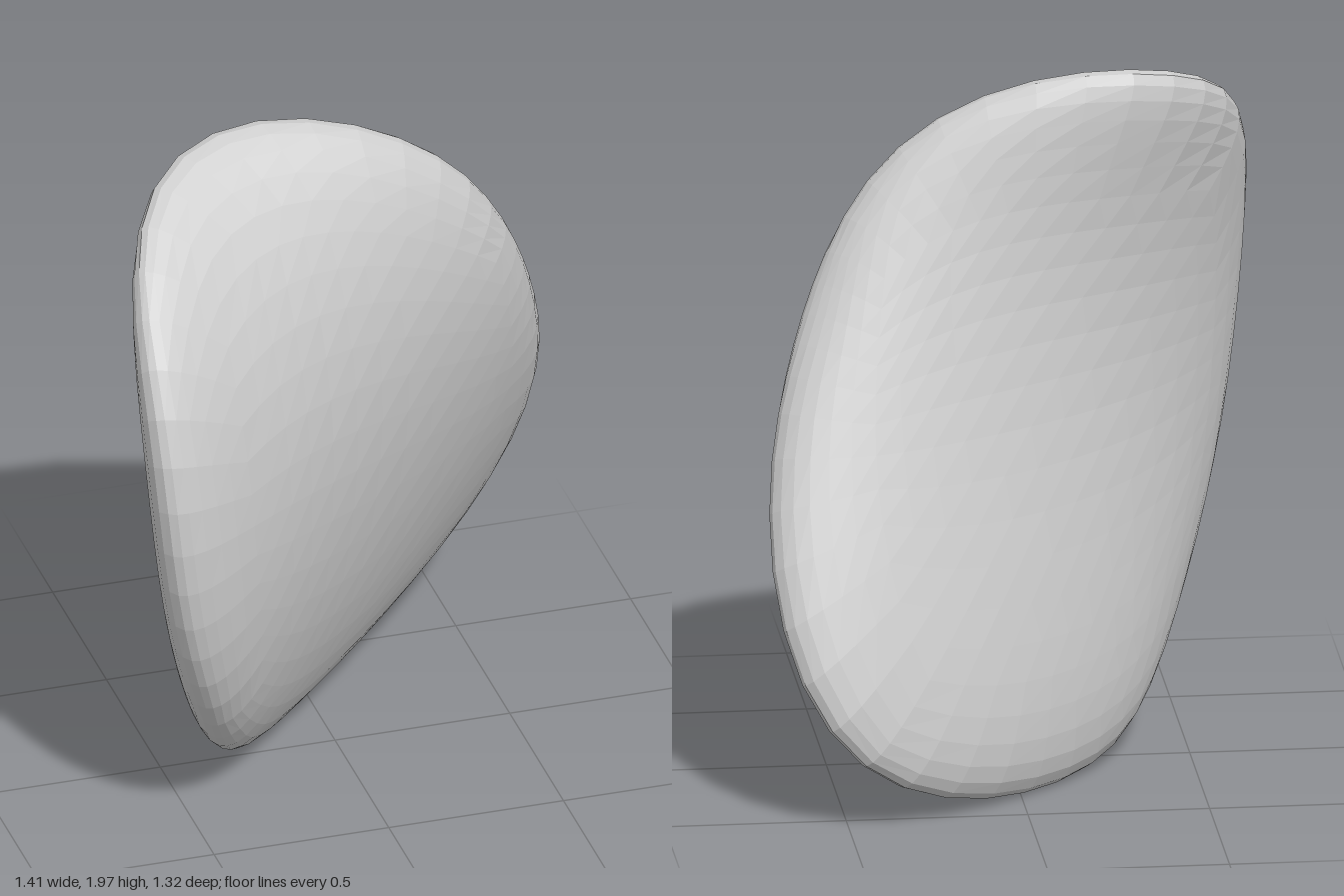
import * as THREE from 'three';

// Rim of the twisted shell, every 22.5 degrees counterclockwise from the right edge
const RIM = [
  [0.67, 1.02, -0.36], [0.61, 1.28, -0.23], [0.50, 1.53, -0.11], [0.30, 1.78, -0.05],
  [-0.06, 1.96, -0.02], [-0.47, 1.95, 0.00], [-0.65, 1.77, 0.34], [-0.69, 1.45, 0.56],
  [-0.66, 1.05, 0.63], [-0.58, 0.67, 0.58], [-0.48, 0.36, 0.39], [-0.37, 0.13, 0.16],
  [-0.19, 0.01, -0.13], [0.10, 0.04, -0.43], [0.46, 0.21, -0.64], [0.68, 0.58, -0.59],
].map((p) => new THREE.Vector3(...p));
const FACING = new THREE.Vector3(0.74, 0.08, 0.67).normalize();
const FRONT_DEPTH = 0.135;
const BACK_DEPTH = 0.25;
const BULGE = 0.075;

// Smooth waves around the rim: [cosine part, sine part] for each order
const WAVES = [0, 1, 2, 3, 4, 5].map((k) => [Math.cos, Math.sin].map((wave) => {
  const sum = new THREE.Vector3();
  RIM.forEach((p, i) => sum.addScaledVector(p, wave(k * i * Math.PI / 8)));
  return sum.multiplyScalar((k ? 2 : 1) / RIM.length);
}));

// Middle sheet of the shell over the unit disc, spanning the rim
function sheet(x, y) {
  const r = Math.hypot(x, y);
  const a = Math.atan2(y, x);
  const p = FACING.clone().multiplyScalar(BULGE * (1 - r * r) * (1 + 0.8 * y));
  WAVES.forEach(([c, s], k) => {
    p.addScaledVector(c, r ** k * Math.cos(k * a)).addScaledVector(s, r ** k * Math.sin(k * a));
  });
  return p;
}

function sheetNormal(x, y) {
  const e = 0.01;
  const across = sheet(x + e, y).sub(sheet(x - e, y));
  const up = sheet(x, y + e).sub(sheet(x, y - e));
  return across.cross(up).normalize();
}

export function createModel() {
  const group = new THREE.Group();
  const stone = new THREE.MeshStandardMaterial({ color: 0xcccccc, flatShading: true });
  stone.name = 'pale grey';

  // Rounded cube grid, flattened onto both sides of the sheet, deeper at the back
  const geometry = new THREE.BoxGeometry(2, 2, 2, 12, 12, 12);
  const pos = geometry.attributes.position;
  const v = new THREE.Vector3();
  for (let i = 0; i < pos.count; i++) {
    v.fromBufferAttribute(pos, i);
    v.set(...v.toArray().map((c) => Math.tan(c * Math.PI / 4))).normalize();
    const depth = v.z > 0 ? FRONT_DEPTH * Math.sqrt(1 + v.x * v.x + v.y * v.y) : BACK_DEPTH;
    const p = sheet(v.x, v.y).addScaledVector(sheetNormal(v.x, v.y), depth * v.z);
    pos.setXYZ(i, p.x, p.y, p.z);
  }
  geometry.computeVertexNormals();

  const shell = new THREE.Mesh(geometry, stone);
  shell.name = 'twistedShell';
  group.add(shell);
  return group;
}
